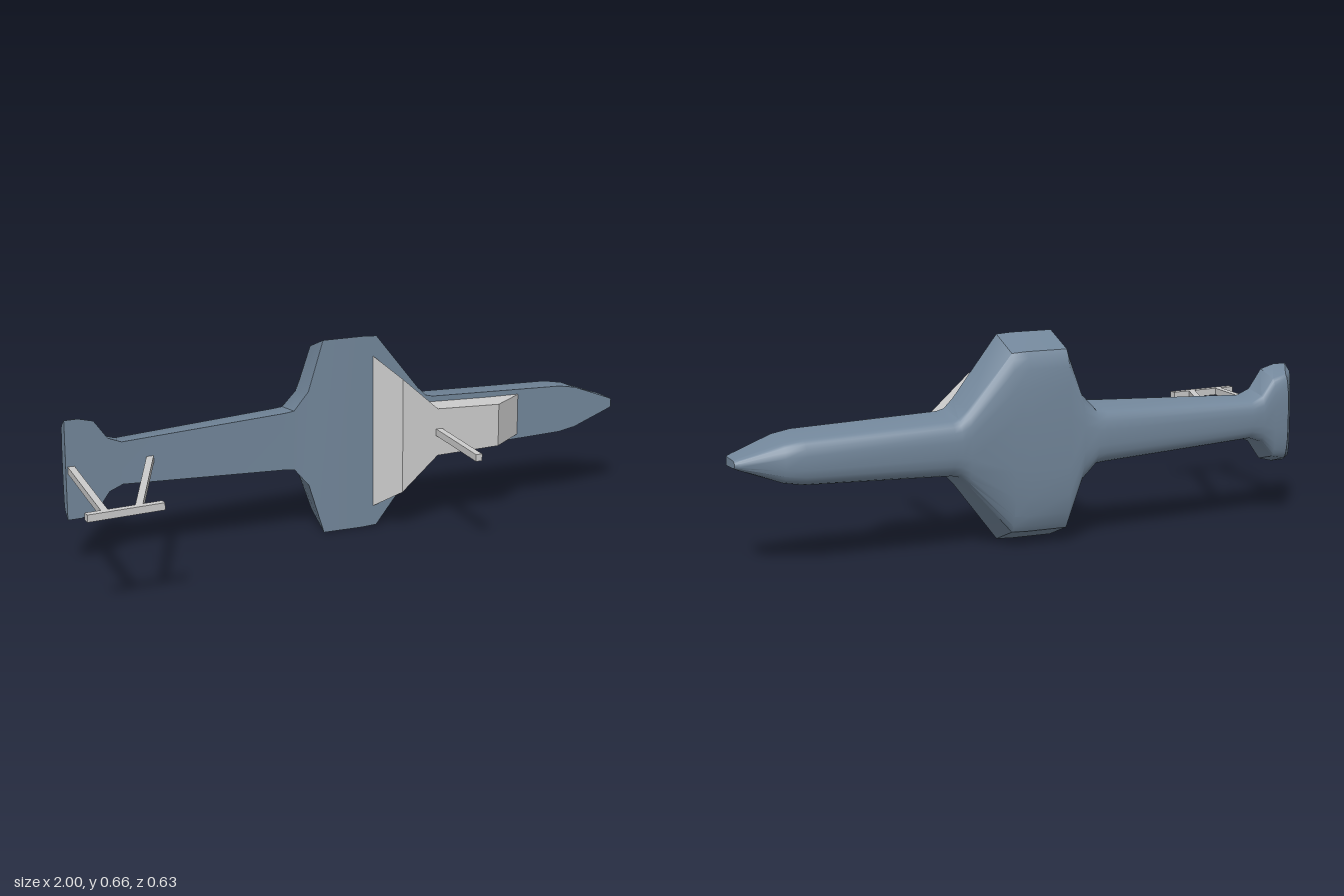
import * as THREE from 'three';
import { toCreasedNormals } from 'three/addons/utils/BufferGeometryUtils.js';

const CY = 0.329; // height of the symmetry plane
const grey = new THREE.MeshStandardMaterial({ color: 0xcccccc });
const blue = new THREE.MeshStandardMaterial({ color: 0x72869a });

// Skin a row of equal-length closed rings laid out along +x, with end caps
function loft(rings, crease) {
  const n = rings[0].length, index = [];
  for (let i = 0; i < rings.length - 1; i++) {
    for (let j = 0; j < n; j++) {
      const a = i * n + j, b = i * n + (j + 1) % n;
      index.push(a, a + n, b + n, a, b + n, b);
    }
  }
  const last = (rings.length - 1) * n;
  for (let k = 1; k < n - 1; k++) {
    index.push(0, k, k + 1, last, last + k + 1, last + k);
  }
  const geo = new THREE.BufferGeometry();
  geo.setAttribute('position', new THREE.Float32BufferAttribute(rings.flat(2), 3));
  geo.setIndex(index);
  return toCreasedNormals(geo, crease);
}

// Half section of the body: [fraction of half height, fraction of depth]
const half = [[1, 0], [0.86, 0.77], [0.8, 0.85], [0.7, 0.91], [0.52, 0.965], [0.25, 0.995]];
const section = [...half, ...half.map(([y, d]) => [-y, d]).reverse()];

// Body stations: [x, half height, front z, back z]
const bodyStations = [
  [-0.935, 0.163, -0.150, -0.190],
  [-0.890, 0.163, -0.152, -0.252],
  [-0.840, 0.150, -0.154, -0.257],
  [-0.795, 0.088, -0.156, -0.261],
  [-0.750, 0.070, -0.158, -0.265],
  [-0.200, 0.096, -0.172, -0.315],
  [-0.165, 0.100, -0.172, -0.315],
  [-0.115, 0.160, -0.171, -0.315],
  [-0.065, 0.328, -0.166, -0.315],
  [0.070, 0.328, -0.166, -0.315],
  [0.122, 0.325, -0.166, -0.315],
  [0.270, 0.135, -0.166, -0.315],
  [0.300, 0.105, -0.166, -0.315],
  [0.325, 0.098, -0.166, -0.315],
  [0.800, 0.081, -0.166, -0.315],
  [0.860, 0.070, -0.166, -0.305],
  [0.985, 0.021, -0.166, -0.256],
  [1.000, 0.014, -0.166, -0.248],
];

// Raised block stations: [x, half height, front z]
const blockStations = [
  [0.11, 0.258, -0.165],
  [0.18, 0.193, -0.080],
  [0.305, 0.080, -0.078],
  [0.525, 0.072, -0.074],
  [0.64, 0.070, -0.163],
];

// Square bar between two points of the symmetry plane, given as [x, z]
function bar(name, [x0, z0], [x1, z1], width = 0.022) {
  const length = Math.hypot(x1 - x0, z1 - z0);
  const mesh = new THREE.Mesh(new THREE.BoxGeometry(length, 0.023, width), grey);
  mesh.position.set((x0 + x1) / 2, CY, (z0 + z1) / 2);
  mesh.rotation.y = -Math.atan2(z1 - z0, x1 - x0);
  mesh.name = name;
  return mesh;
}

export function createModel() {
  const group = new THREE.Group();

  // Main body with rounded back and flat front
  const body = new THREE.Mesh(loft(bodyStations.map(([x, h, zf, zb]) =>
    section.map(([y, d]) => [x, CY + y * h, zf + d * (zb - zf)])), 0.6), blue);
  body.name = 'body';

  // Tapered block standing on the flat front
  const block = new THREE.Mesh(loft(blockStations.map(([x, h, z]) =>
    [[x, CY + h, z], [x, CY + h, -0.19], [x, CY - h, -0.19], [x, CY - h, z]]), 0.1), grey);
  block.name = 'frontBlock';

  // Single strut on the block, and a two-legged frame with a cross bar at the tail
  group.add(
    body, block,
    bar('blockStrut', [0.31, -0.10], [0.31, 0.225]),
    bar('tailOuterLeg', [-0.916, -0.18], [-0.939, 0.29]),
    bar('tailInnerLeg', [-0.65, -0.18], [-0.832, 0.285]),
    bar('tailCrossBar', [-0.999, 0.303], [-0.755, 0.283], 0.023),
  );
  return group;
}
